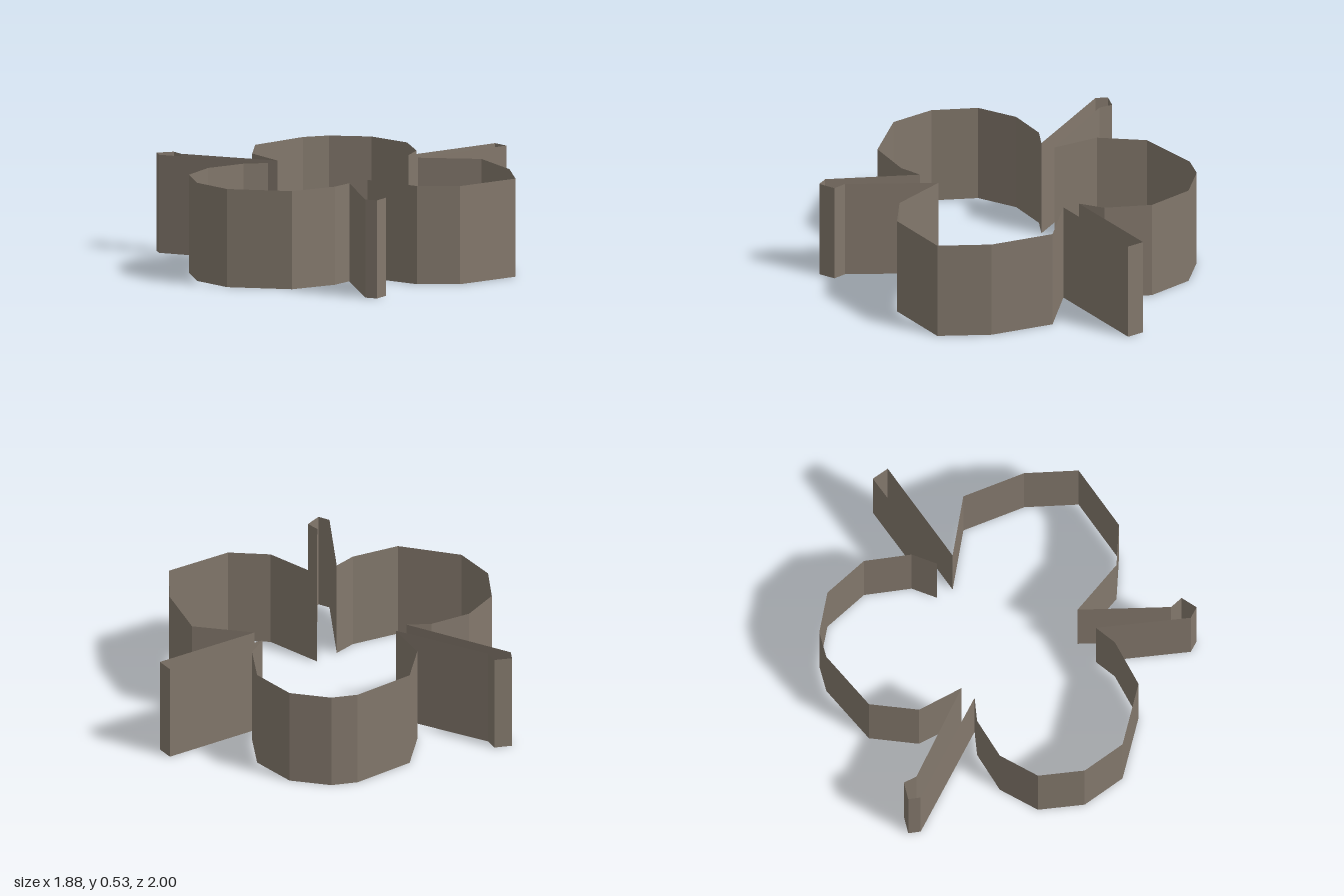
import * as THREE from 'three';

const HEIGHT = 0.53;

// Vertical open wall following a plan path of [x, z] points, outside facing out
function wall(name, path, material) {
  const pos = [];
  for (let i = 0; i < path.length - 1; i++) {
    const [ax, az] = path[i];
    const [bx, bz] = path[i + 1];
    pos.push(ax, 0, az, bx, 0, bz, bx, HEIGHT, bz);
    pos.push(ax, 0, az, bx, HEIGHT, bz, ax, HEIGHT, az);
  }
  const geometry = new THREE.BufferGeometry();
  geometry.setAttribute('position', new THREE.Float32BufferAttribute(pos, 3));
  geometry.computeVertexNormals();
  const mesh = new THREE.Mesh(geometry, material);
  mesh.name = name;
  return mesh;
}

export function createModel() {
  const group = new THREE.Group();
  group.name = 'cutterWall';
  const metal = new THREE.MeshStandardMaterial({
    color: 0x83786c, side: THREE.DoubleSide, flatShading: true,
  });
  metal.name = 'warm grey';

  // Roots where the lobes meet the fins
  const frontRight = [0.435, 0.375], sideRight = [0.415, 0.235];
  const backRight = [0.05, -0.40], backLeft = [-0.045, -0.41];
  const sideLeft = [-0.345, 0.24], frontLeft = [-0.32, 0.325];

  // Skewed fin tip, mirrored for the other side
  const tip = [[0.88, 0.62], [0.94, 0.59], [0.905, 0.50], [0.83, 0.51]];
  const mirroredTip = tip.map(([x, z]) => [-x, z]).reverse();

  // Three rounded lobes
  group.add(wall('frontLobe', [frontLeft, [-0.385, 0.44], [-0.40, 0.67], [-0.30, 0.88],
    [-0.08, 1.0], [0.17, 0.995], [0.437, 0.765], [0.47, 0.50], frontRight], metal));
  group.add(wall('rightSideLobe', [sideRight, [0.73, 0.148], [0.872, -0.03], [0.875, -0.405],
    [0.63, -0.56], [0.29, -0.64], backRight], metal));
  group.add(wall('leftSideLobe', [backLeft, [-0.125, -0.53], [-0.353, -0.647], [-0.615, -0.613],
    [-0.78, -0.455], [-0.83, -0.32], [-0.80, 0.03], [-0.60, 0.21], sideLeft], metal));

  // Three hollow fins between the lobes
  group.add(wall('rightFin', [frontRight, ...tip, sideRight], metal));
  group.add(wall('backFin', [backRight, [0.052, -1], [-0.045, -1], backLeft], metal));
  group.add(wall('leftFin', [sideLeft, ...mirroredTip, frontLeft], metal));

  return group;
}
